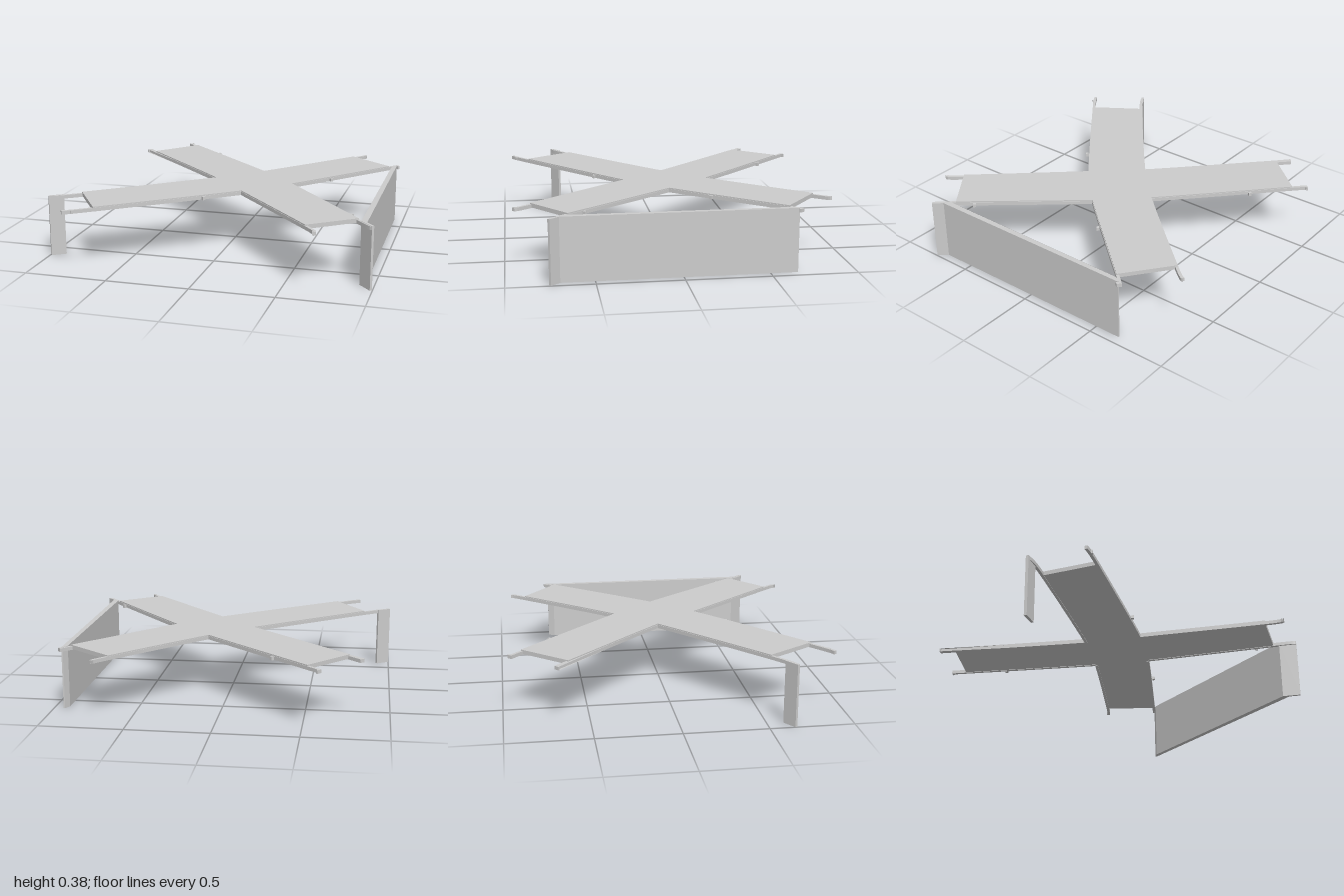
import * as THREE from 'three';

const material = new THREE.MeshStandardMaterial({ color: 0xcccccc, flatShading: true, side: THREE.DoubleSide });

// Vertical prism over a ground outline given as Vector2(x, z)
function prism(name, outline, y0, y1) {
  const shape = new THREE.Shape(outline.map((p) => new THREE.Vector2(p.x, -p.y)));
  const geo = new THREE.ExtrudeGeometry(shape, { depth: y1 - y0, bevelEnabled: false });
  geo.rotateX(-Math.PI / 2).translate(0, y0, 0);
  const mesh = new THREE.Mesh(geo, material);
  mesh.name = name;
  return mesh;
}

const points = (list) => list.map(([x, z]) => new THREE.Vector2(x, z));

// Road edges: curb tip, deck corner, two crossing corners, deck corner, curb tip
const edges = {
  aBack: [[-0.995, 0.648], [-0.826, 0.537], [-0.136, -0.02], [0.12, -0.265], [0.62, -0.826], [0.69, -0.92]],
  aFront: [[-0.785, 0.935], [-0.634, 0.828], [0.104, 0.249], [0.366, 0], [0.896, -0.612], [0.94, -0.66]],
  bBack: [[-0.59, -0.94], [-0.527, -0.88], [0.12, -0.265], [0.366, 0], [0.895, 0.644], [0.99, 0.75]],
  bFront: [[-0.826, -0.685], [-0.757, -0.62], [-0.136, -0.02], [0.104, 0.249], [0.63, 0.845], [0.69, 0.935]],
};
const curves = Object.fromEntries(
  Object.entries(edges).map(([key, list]) => [key, new THREE.SplineCurve(points(list))]));

// Samples of an edge between two of its control points
function span(key, from, to, steps = 10) {
  return Array.from({ length: steps + 1 }, (_, i) =>
    curves[key].getPoint((from + ((to - from) * i) / steps) / 5));
}

// Curb strip along part of an edge, widened towards the road
function curb(key, from, to) {
  const side = key.endsWith('Back') ? 1 : -1;
  const outer = [], inner = [];
  for (let i = 0; i <= 14; i++) {
    const t = (from + ((to - from) * i) / 14) / 5;
    const p = curves[key].getPoint(t);
    const d = curves[key].getTangent(t);
    const n = new THREE.Vector2(-d.y, d.x).multiplyScalar(side);
    outer.push(p.clone().addScaledVector(n, -0.003));
    inner.unshift(p.clone().addScaledVector(n, 0.015));
  }
  return prism('curb', [...outer, ...inner], 0.355, 0.376);
}

export function createModel() {
  const group = new THREE.Group();
  group.name = 'crossingBridge';

  // Cross-shaped deck with bowed arms
  const outline = [
    ...span('aBack', 1, 2), ...span('bFront', 2, 1).slice(1),
    ...span('bBack', 1, 2), ...span('aBack', 3, 4).slice(1),
    ...span('aFront', 4, 3), ...span('bBack', 3, 4).slice(1),
    ...span('bFront', 4, 3), ...span('aFront', 2, 1).slice(1),
  ];
  group.add(prism('deck', outline, 0.358, 0.383));

  // Curbs run past the deck ends on all four arms
  for (const key of Object.keys(edges)) group.add(curb(key, 0, 2), curb(key, 3, 5));

  // Small pegs on the outer curb faces
  for (const [x, z] of [[-0.313, -0.705], [0.578, -0.218], [-0.086, 0.422], [0.837, 0.545], [-0.735, 0.903]]) {
    const peg = new THREE.Mesh(new THREE.BoxGeometry(0.018, 0.02, 0.018), material);
    peg.name = 'peg';
    peg.position.set(x, 0.366, z);
    peg.rotation.y = Math.PI / 4;
    group.add(peg);
  }

  // Long side wall with a slanted end
  group.add(prism('sideWall', points([
    [0.914, -0.62], [0.934, -0.66], [0.943, -0.66], [0.95, 0.695],
    [0.997, 0.748], [0.986, 0.758], [0.914, 0.675],
  ]), 0, 0.378));

  // Support leg below one curb tip
  group.add(prism('leg', points([
    [-1, 0.648], [-0.922, 0.597], [-0.913, 0.611], [-0.99, 0.662],
  ]), 0, 0.377));

  return group;
}
